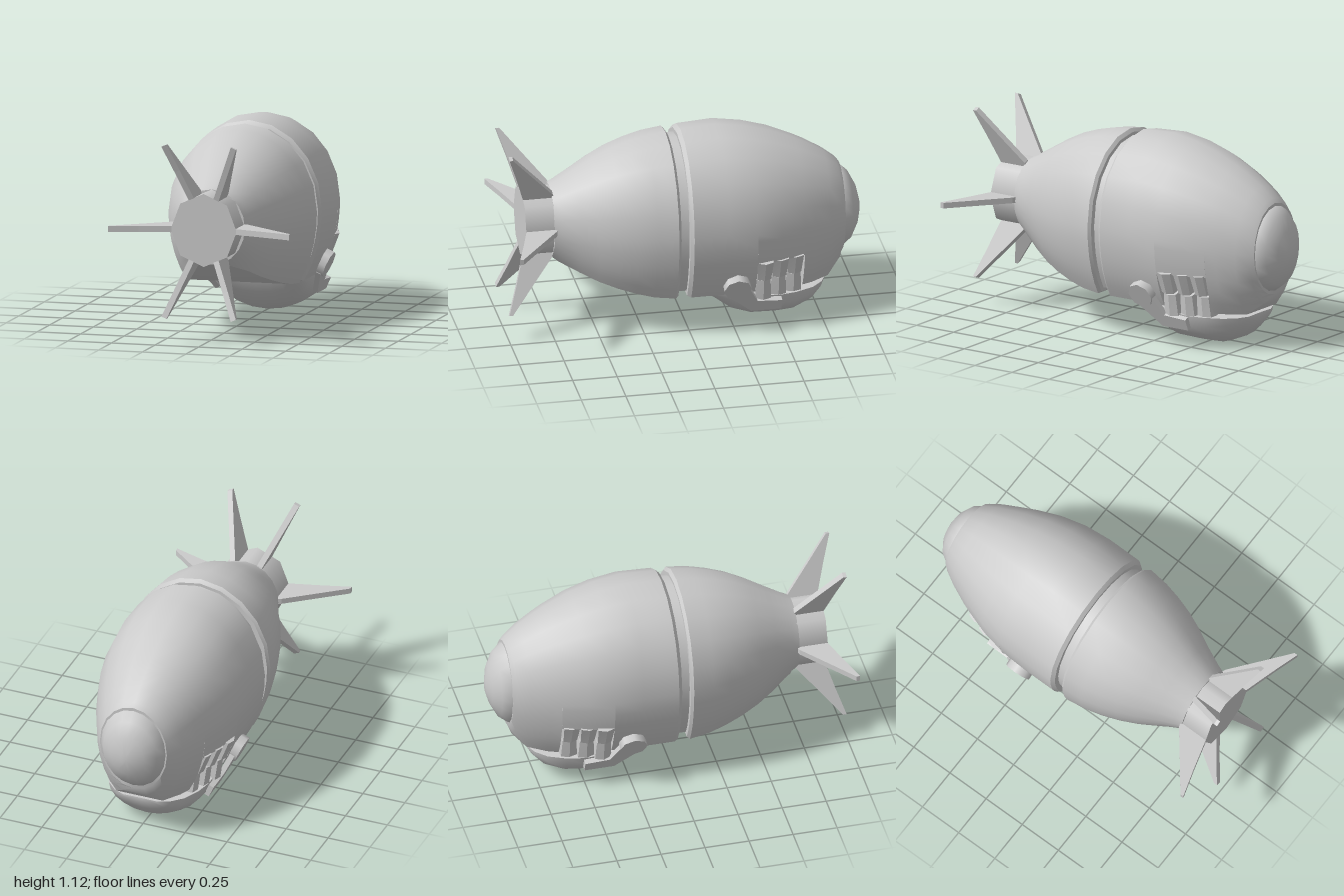
import * as THREE from 'three';
import { toCreasedNormals } from 'three/addons/utils/BufferGeometryUtils.js';

const material = new THREE.MeshStandardMaterial({ color: 0xcccccc });

function mesh(name, geometry) {
  const m = new THREE.Mesh(geometry, material);
  m.name = name;
  return m;
}

// Egg-shaped section: half width, widest height, top, virtual bottom, flat cut height
function section([z, hw, cy, top, low, cut = low]) {
  const dip = Math.asin(Math.min(1, (cy - cut) / (cy - low)));
  const points = [];
  const UP = 10, DOWN = 5;
  for (let i = 0; i <= UP; i++) {
    const a = (Math.PI * i) / UP;
    points.push([hw * Math.cos(a), cy + (top - cy) * Math.sin(a), z]);
  }
  for (let i = 1; i <= DOWN; i++) {
    const a = (dip * i) / DOWN;
    points.push([-hw * Math.cos(a), cy - (cy - low) * Math.sin(a), z]);
  }
  for (let i = DOWN; i >= 1; i--) {
    const a = (dip * i) / DOWN;
    points.push([hw * Math.cos(a), cy - (cy - low) * Math.sin(a), z]);
  }
  return points;
}

// Skin over sections listed from low z to high z, closed at both ends
function loft(rows, crease = 0.6) {
  const rings = rows.map(section);
  const n = rings[0].length;
  const positions = rings.flat(2);
  const index = [];
  for (let i = 0; i < rings.length - 1; i++) {
    for (let j = 0; j < n; j++) {
      const k = (j + 1) % n;
      const a = i * n + j, b = i * n + k, c = b + n, d = a + n;
      index.push(a, b, c, a, c, d);
    }
  }
  [0, rings.length - 1].forEach((r) => {
    const center = positions.length / 3;
    positions.push(0, rows[r][2], rows[r][0]);
    for (let j = 0; j < n; j++) {
      const a = r * n + j, b = r * n + ((j + 1) % n);
      if (r === 0) index.push(center, b, a);
      else index.push(center, a, b);
    }
  });
  const g = new THREE.BufferGeometry();
  g.setAttribute('position', new THREE.Float32BufferAttribute(positions, 3));
  g.setIndex(index);
  return toCreasedNormals(g, crease);
}

function polygon(points) {
  return new THREE.Shape(points.map(([x, y]) => new THREE.Vector2(x, y)));
}

export function createModel() {
  const group = new THREE.Group();

  // Rear hull; the raised cut between z -0.64 and -0.36 leaves the mouth opening
  group.add(mesh('rearHull', loft([
    [-0.89, 0.2, 0.57, 0.83, 0.31],
    [-0.87, 0.215, 0.57, 0.855, 0.25, 0.27],
    [-0.8, 0.255, 0.58, 0.91, 0.14, 0.21],
    [-0.7, 0.3, 0.59, 0.97, 0.07, 0.21],
    [-0.64, 0.325, 0.6, 1.0, 0.05, 0.21],
    [-0.64, 0.325, 0.6, 1.0, 0.05, 0.43],
    [-0.5, 0.375, 0.61, 1.06, 0.03, 0.43],
    [-0.36, 0.405, 0.62, 1.1, 0.02, 0.43],
    [-0.36, 0.405, 0.62, 1.1, 0.02, 0.23],
    [-0.2, 0.416, 0.63, 1.125, 0.02, 0.23],
    [0, 0.416, 0.63, 1.112, 0.02, 0.23],
    [0.02, 0.4, 0.63, 1.09, 0.04, 0.235],
  ])));

  // Nose cap
  group.add(mesh('noseCap', loft([
    [-1, 0.03, 0.56, 0.6, 0.52],
    [-0.98, 0.1, 0.565, 0.685, 0.45],
    [-0.94, 0.16, 0.57, 0.765, 0.37],
    [-0.89, 0.192, 0.57, 0.812, 0.33],
    [-0.87, 0.192, 0.57, 0.812, 0.33],
  ], 0.9)));

  // Recessed band between the hull halves
  group.add(mesh('neckBand', loft([
    [0, 0.37, 0.63, 1.067, 0.06, 0.26],
    [0.1, 0.37, 0.63, 1.067, 0.06, 0.26],
  ])));

  // Front hull, tapering to the tail
  group.add(mesh('frontHull', loft([
    [0.07, 0.4, 0.63, 1.085, 0.04, 0.24],
    [0.085, 0.413, 0.63, 1.105, 0.02, 0.23],
    [0.2, 0.4, 0.63, 1.09, 0.05, 0.24],
    [0.3, 0.377, 0.63, 1.065, 0.09, 0.262],
    [0.4, 0.345, 0.63, 1.03, 0.14, 0.29],
    [0.5, 0.302, 0.63, 0.98, 0.2, 0.325],
    [0.6, 0.25, 0.63, 0.92, 0.28, 0.37],
    [0.7, 0.205, 0.63, 0.86, 0.38, 0.41],
    [0.74, 0.19, 0.63, 0.84, 0.42],
  ])));

  // Eight-sided tail
  const tail = mesh('tail', new THREE.CylinderGeometry(0.204, 0.204, 0.2, 8).rotateX(Math.PI / 2));
  tail.scale.x = 0.93;
  tail.position.set(0, 0.635, 0.8);
  group.add(tail);

  // Six swept fins around the tail
  const finGeometry = new THREE.ExtrudeGeometry(
    polygon([[0.15, 0.71], [0.21, 0.735], [0.38, 0.87], [0.52, 0.98], [0.52, 1], [0.36, 0.95], [0.15, 0.89]]),
    { depth: 0.032, bevelEnabled: false },
  ).translate(0, 0, -0.016).rotateX(Math.PI / 2);
  [0, 67.5, 112.5, 180, 247.5, 292.5].forEach((degrees) => {
    const fin = mesh('fin', finGeometry);
    fin.position.y = 0.635;
    fin.rotation.z = THREE.MathUtils.degToRad(degrees);
    group.add(fin);
  });

  // Bowl-shaped lower jaw
  group.add(mesh('jaw', loft([
    [-0.79, 0.1, 0.188, 0.19, 0.165],
    [-0.76, 0.165, 0.188, 0.19, 0.11],
    [-0.7, 0.225, 0.188, 0.19, 0.045],
    [-0.6, 0.27, 0.188, 0.19, 0.003],
    [-0.5, 0.29, 0.188, 0.19, 0],
    [-0.36, 0.292, 0.2, 0.202, 0.002],
    [-0.25, 0.285, 0.228, 0.235, 0.04],
    [-0.15, 0.265, 0.228, 0.235, 0.13],
    [-0.095, 0.24, 0.228, 0.235, 0.21],
  ], 0.8)));

  // Jaw hinges and teeth, mirrored on both sides
  const armGeometry = new THREE.ExtrudeGeometry(
    polygon([[0.05, 0.01], [-0.04, 0.05], [-0.12, -0.12], [-0.26, -0.13], [-0.26, -0.2], [-0.09, -0.2], [0.05, -0.06]]
      .map(([z, y]) => [-z, y])),
    { depth: 0.03, bevelEnabled: false },
  ).rotateY(Math.PI / 2);
  const discGeometry = new THREE.CylinderGeometry(0.077, 0.077, 0.055, 8).rotateZ(Math.PI / 2);

  [1, -1].forEach((side) => {
    const hinge = new THREE.Group();
    hinge.name = side > 0 ? 'leftHinge' : 'rightHinge';
    hinge.position.set(side * 0.36, 0.295, -0.25);
    hinge.rotation.z = -side * 0.42;
    const arm = mesh('hingeArm', armGeometry);
    arm.position.x = -0.015;
    hinge.add(arm, mesh('hingeDisc', discGeometry));
    group.add(hinge);

    for (let i = 0; i < 3; i++) {
      [1, -1].forEach((row) => {
        // Each tooth narrows toward the bite line
        const g = new THREE.BoxGeometry(0.09, 0.13, 0.092, 1, 2, 2);
        const p = g.attributes.position;
        for (let v = 0; v < p.count; v++) {
          const bite = 0.5 - (row * p.getY(v)) / 0.13;
          const bulge = p.getZ(v) === 0 ? 0.015 * side : 0;
          p.setX(v, p.getX(v) * (1 - 0.35 * bite) + bulge);
          p.setZ(v, p.getZ(v) * (1 - 0.15 * bite));
        }
        const tooth = mesh(row > 0 ? 'upperTooth' : 'lowerTooth', toCreasedNormals(g, 0.3));
        const inset = 0.03 * i;
        tooth.position.set(side * ((row > 0 ? 0.325 : 0.275) - inset), row > 0 ? 0.385 : 0.25, -0.405 - 0.09 * i);
        tooth.rotation.z = -side * 0.25;
        group.add(tooth);
      });
    }
  });

  return group;
}
